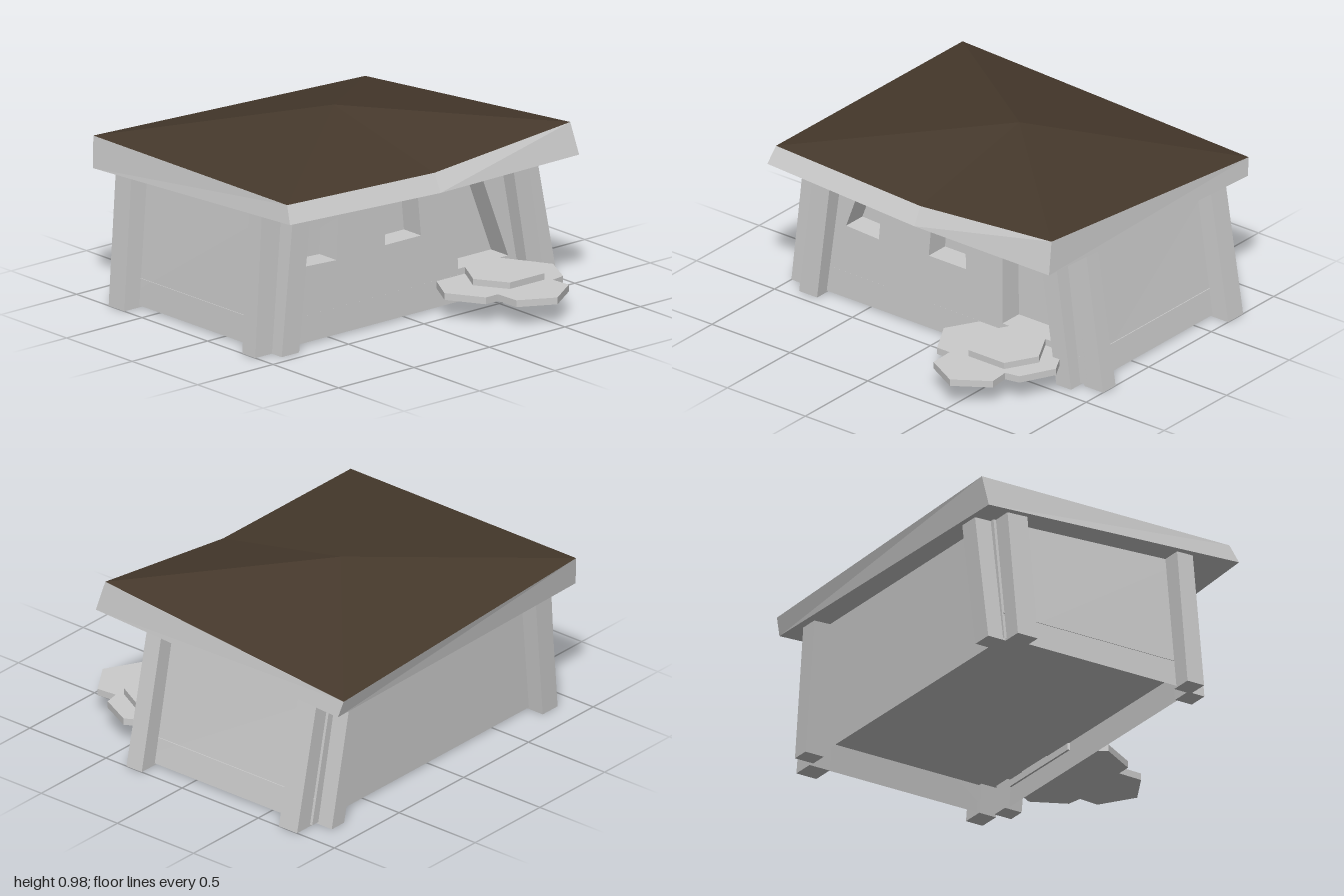
import * as THREE from 'three';

const grey = new THREE.MeshStandardMaterial({ color: 0xcccccc, flatShading: true, side: THREE.DoubleSide });
const brown = new THREE.MeshStandardMaterial({ color: 0x46392c, flatShading: true, side: THREE.DoubleSide });

function part(name, geometry, material = grey) {
  const mesh = new THREE.Mesh(geometry, material);
  mesh.name = name;
  return mesh;
}

// Faces given as loops of corners, counter-clockwise from outside
function faces(loops) {
  const pos = [];
  for (const f of loops)
    for (let i = 1; i < f.length - 1; i++) pos.push(...f[0], ...f[i], ...f[i + 1]);
  const g = new THREE.BufferGeometry();
  g.setAttribute('position', new THREE.Float32BufferAttribute(pos, 3));
  g.computeVertexNormals();
  return g;
}

// Leaning post between a bottom and a top rectangle [x0, x1, z0, z1]
function post(bottom, top, height) {
  const g = new THREE.BoxGeometry(1, 1, 1).toNonIndexed();
  const p = g.attributes.position;
  for (let i = 0; i < p.count; i++) {
    const up = p.getY(i) > 0, r = up ? top : bottom;
    p.setXYZ(i, p.getX(i) > 0 ? r[1] : r[0], up ? height : 0, p.getZ(i) > 0 ? r[3] : r[2]);
  }
  g.computeVertexNormals();
  return g;
}

// Flat slab from an outline of [x, z] points
function slab(outline, y, thickness) {
  const shape = new THREE.Shape(outline.map(([x, z]) => new THREE.Vector2(x, -z)));
  const g = new THREE.ExtrudeGeometry(shape, { depth: thickness, bevelEnabled: false });
  return g.rotateX(-Math.PI / 2).translate(0, y, 0);
}

const frontZ = y => 0.365 - 0.035 * y;
const vec = list => list.map(([x, y]) => new THREE.Vector2(x, y));

export function createModel() {
  const model = new THREE.Group();
  model.name = 'hut';

  // Roof: uneven ring of corners, front left, front middle, front right, back right, back left
  const upper = [[-0.95, 0.84, 0.55], [0, 0.815, 0.58], [0.87, 0.905, 0.615], [0.875, 0.76, -0.955], [-0.945, 0.84, -0.935]];
  const lower = [[-0.97, 0.75, 0.595], [0, 0.72, 0.627], [0.89, 0.74, 0.66], [0.89, 0.67, -0.93], [-0.97, 0.68, -0.91]];
  const peak = [0.01, 0.98, -0.2], under = [0, 0.705, -0.13];
  const cover = [], band = [], soffit = [];
  upper.forEach((a, i) => {
    const j = (i + 1) % upper.length;
    cover.push([peak, a, upper[j]]);
    band.push([lower[i], lower[j], upper[j], a]);
    soffit.push([under, lower[j], lower[i]]);
  });
  model.add(part('roofCover', faces(cover), brown));
  model.add(part('roofEdge', faces(band)));
  model.add(part('roofUnderside', faces(soffit)));

  // Side and back walls, leaning inward
  const base = [[0.9, 0.01, 0.365], [0.9, 0.01, -0.77], [-0.9, 0.01, -0.77], [-0.9, 0.01, 0.365]];
  const head = [[0.78, 0.73, 0.34], [0.78, 0.69, -0.79], [-0.83, 0.695, -0.79], [-0.83, 0.735, 0.34]];
  const walls = [0, 1, 2].map(i => [base[i], base[i + 1], head[i + 1], head[i]]);
  model.add(part('walls', faces(walls)));

  // Floor raised inside the walls
  model.add(part('floor', faces([[[0.88, 0.15, 0.36], [0.88, 0.15, -0.77], [-0.89, 0.15, -0.77], [-0.89, 0.15, 0.36]]])));

  // Front wall with crooked openings
  const openings = {
    leftWindow: [[-0.66, 0.405], [-0.45, 0.395], [-0.435, 0.615], [-0.6, 0.575]],
    middleWindow: [[-0.13, 0.405], [0.11, 0.405], [0.095, 0.625], [-0.115, 0.625]],
    doorway: [[0.35, 0.18], [0.68, 0.18], [0.515, 0.64], [0.335, 0.645]],
  };
  const wallShape = new THREE.Shape(vec([[-0.9, 0.01], [0.9, 0.01], [0.78, 0.73], [0, 0.715], [-0.83, 0.735]]));
  for (const o of Object.values(openings)) wallShape.holes.push(new THREE.Path(vec(o)));
  const front = new THREE.ShapeGeometry(wallShape);
  const p = front.attributes.position;
  for (let i = 0; i < p.count; i++) p.setZ(i, frontZ(p.getY(i)));
  front.computeVertexNormals();
  model.add(part('frontWall', front));

  // Recess behind each opening
  for (const [name, o] of Object.entries(openings)) {
    const near = o.map(([x, y]) => [x, y, frontZ(y)]);
    const far = o.map(([x, y]) => [x, y, frontZ(y) - 0.13]);
    const loops = near.map((a, i) => {
      const j = (i + 1) % near.length;
      return [a, near[j], far[j], far[i]];
    });
    model.add(part(name, faces([...loops, far])));
  }

  // Two leaning posts at each corner, one on the face and one on the side
  const facePosts = [
    { name: 'left', b: [0.76, 0.855], t: [0.64, 0.74] },
    { name: 'right', b: [-0.89, -0.775], t: [-0.805, -0.69] },
  ];
  const sidePosts = [
    { name: 'left', b: [0.88, 1], t: [0.76, 0.87] },
    { name: 'right', b: [-1, -0.88], t: [-0.935, -0.82] },
  ];
  const ends = [
    { name: 'front', h: 0.735, face: [[0.34, 0.44], [0.33, 0.43]], side: [[0.265, 0.365], [0.245, 0.34]] },
    { name: 'back', h: 0.695, face: [[-0.86, -0.75], [-0.885, -0.775]], side: [[-0.755, -0.635], [-0.775, -0.655]] },
  ];
  for (const e of ends) {
    for (const f of facePosts)
      model.add(part(`${e.name} ${f.name} facePost`, post([...f.b, ...e.face[0]], [...f.t, ...e.face[1]], e.h)));
    for (const s of sidePosts)
      model.add(part(`${e.name} ${s.name} sidePost`, post([...s.b, ...e.side[0]], [...s.t, ...e.side[1]], e.h)));
  }

  // Stone steps at the doorway
  model.add(part('lowerStep', slab([[0.11, 0.53], [0.22, 0.72], [0.3, 0.72], [0.305, 0.855], [0.49, 0.955], [0.67, 0.835],
    [0.66, 0.725], [0.74, 0.71], [0.83, 0.53], [0.73, 0.35], [0.21, 0.35]], 0.11, 0.036)));
  model.add(part('upperStep', slab([[0.3, 0.53], [0.4, 0.695], [0.63, 0.695], [0.72, 0.53], [0.62, 0.35], [0.4, 0.35]], 0.146, 0.034)));

  return model;
}
